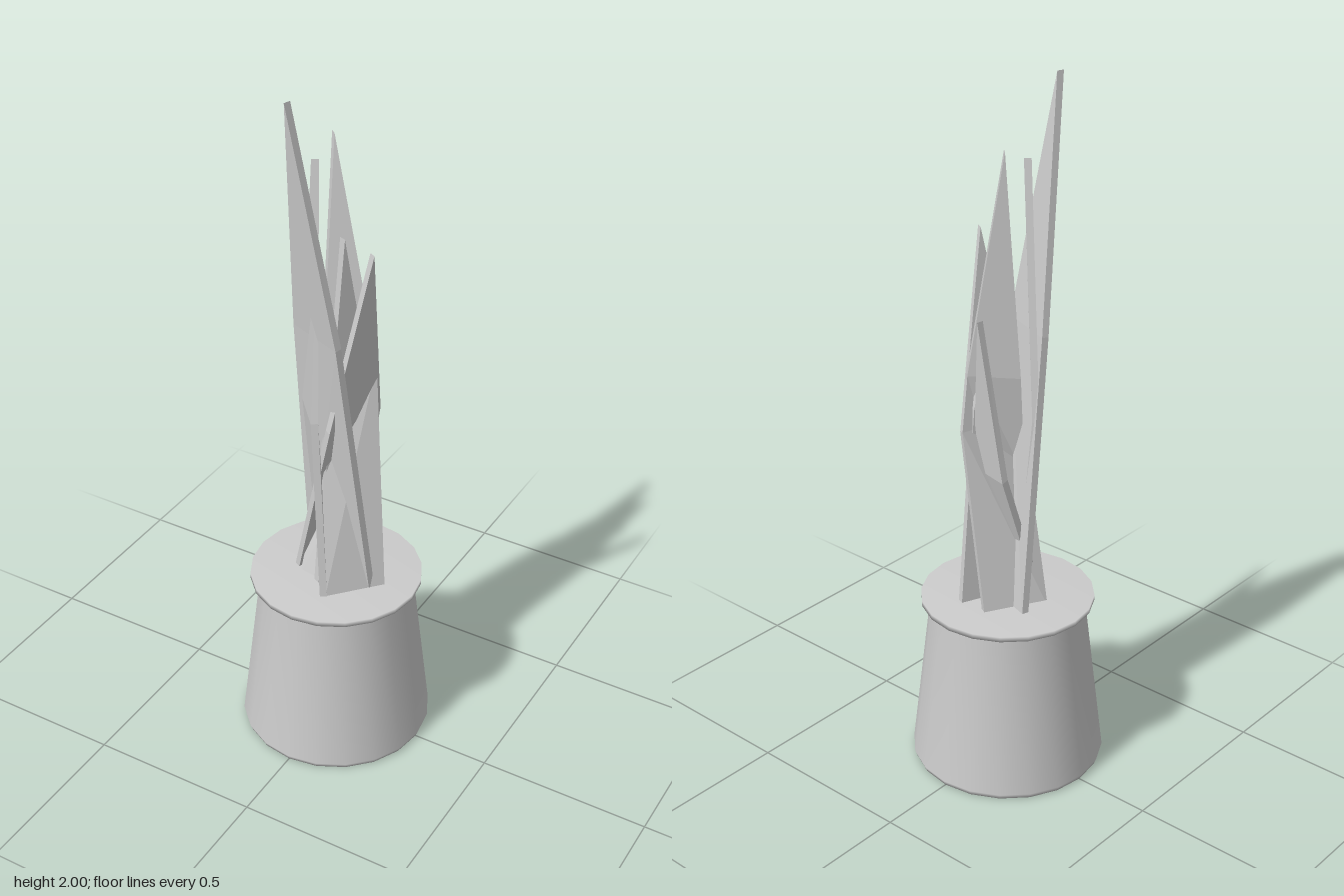
import * as THREE from 'three';

const grey = new THREE.MeshStandardMaterial({ color: 0xcccccc });
grey.name = 'plain grey';

// Pointed slab leaf: base edge, shoulder edge and a tip, given a thickness
function leafGeometry(outline, thickness) {
  const ring = outline.map((p) => new THREE.Vector3(...p));
  const normal = ring[1].clone().sub(ring[0])
    .cross(ring[4].clone().sub(ring[0])).normalize().multiplyScalar(thickness / 2);
  const front = ring.map((p) => p.clone().add(normal));
  const back = ring.map((p) => p.clone().sub(normal));
  // keep the tip at its stated height
  front[3].y = back[3].y = ring[3].y;
  const verts = [];
  const tri = (...pts) => pts.forEach((p) => verts.push(p.x, p.y, p.z));
  for (const [i, j, k] of [[0, 1, 2], [0, 2, 4], [4, 2, 3]]) {
    tri(front[i], front[j], front[k]);
    tri(back[k], back[j], back[i]);
  }
  for (let i = 0; i < 5; i++) {
    const j = (i + 1) % 5;
    tri(front[i], back[i], back[j]);
    tri(front[i], back[j], front[j]);
  }
  const g = new THREE.BufferGeometry();
  g.setAttribute('position', new THREE.Float32BufferAttribute(verts, 3));
  g.computeVertexNormals();
  return g;
}

// Base corners [x, z], shoulder height, shoulder corners [x, z], tip
const leaves = [
  { base: [[-0.115, -0.06], [0.13, 0.02]], h: 1.32, shoulder: [[-0.105, 0.03], [0.065, 0.1]], tip: [-0.05, 2.0, 0.147] },
  { base: [[0.03, 0.125], [0.15, -0.01]], h: 1.2, shoulder: [[-0.045, 0.0], [0.075, -0.08]], tip: [-0.05, 1.84, -0.07] },
  { base: [[-0.06, -0.03], [0.035, 0.13]], h: 1.08, shoulder: [[-0.1, 0.0], [0.0, 0.115]], tip: [-0.05, 1.8, 0.02] },
  { base: [[-0.11, 0.04], [-0.02, -0.125]], h: 1.04, shoulder: [[0.02, 0.08], [0.07, -0.11]], tip: [0.12, 1.58, 0.025] },
  { base: [[-0.02, 0.08], [0.065, -0.13]], h: 1.1, shoulder: [[0.0, 0.04], [0.06, -0.075]], tip: [0.03, 1.6, 0.02] },
  { base: [[-0.085, 0.05], [0.08, 0.075]], h: 0.92, shoulder: [[-0.06, -0.08], [0.07, -0.05]], tip: [0.0, 1.38, -0.11] },
];

export function createModel() {
  const model = new THREE.Group();
  model.name = 'pottedPlant';

  // Pot: foot, tapering wall, flat rim and closed top, smooth shaded
  const profile = [
    [0, 0], [0.272, 0], [0.278, 0.015], [0.22, 0.505],
    [0.247, 0.505], [0.247, 0.52], [0, 0.52],
  ].map(([r, y]) => new THREE.Vector2(r, y));
  const pot = new THREE.Mesh(new THREE.LatheGeometry(profile, 20), grey);
  pot.name = 'pot';
  model.add(pot);

  // Leaves leaning across one another
  const foliage = new THREE.Group();
  foliage.name = 'leaves';
  for (const { base, h, shoulder, tip } of leaves) {
    const at = ([x, z], y) => [x, y, z];
    const outline = [at(base[0], 0.5), at(base[1], 0.5), at(shoulder[1], h), tip, at(shoulder[0], h)];
    const leaf = new THREE.Mesh(leafGeometry(outline, 0.02), grey);
    leaf.name = 'leaf';
    foliage.add(leaf);
  }
  model.add(foliage);
  return model;
}
